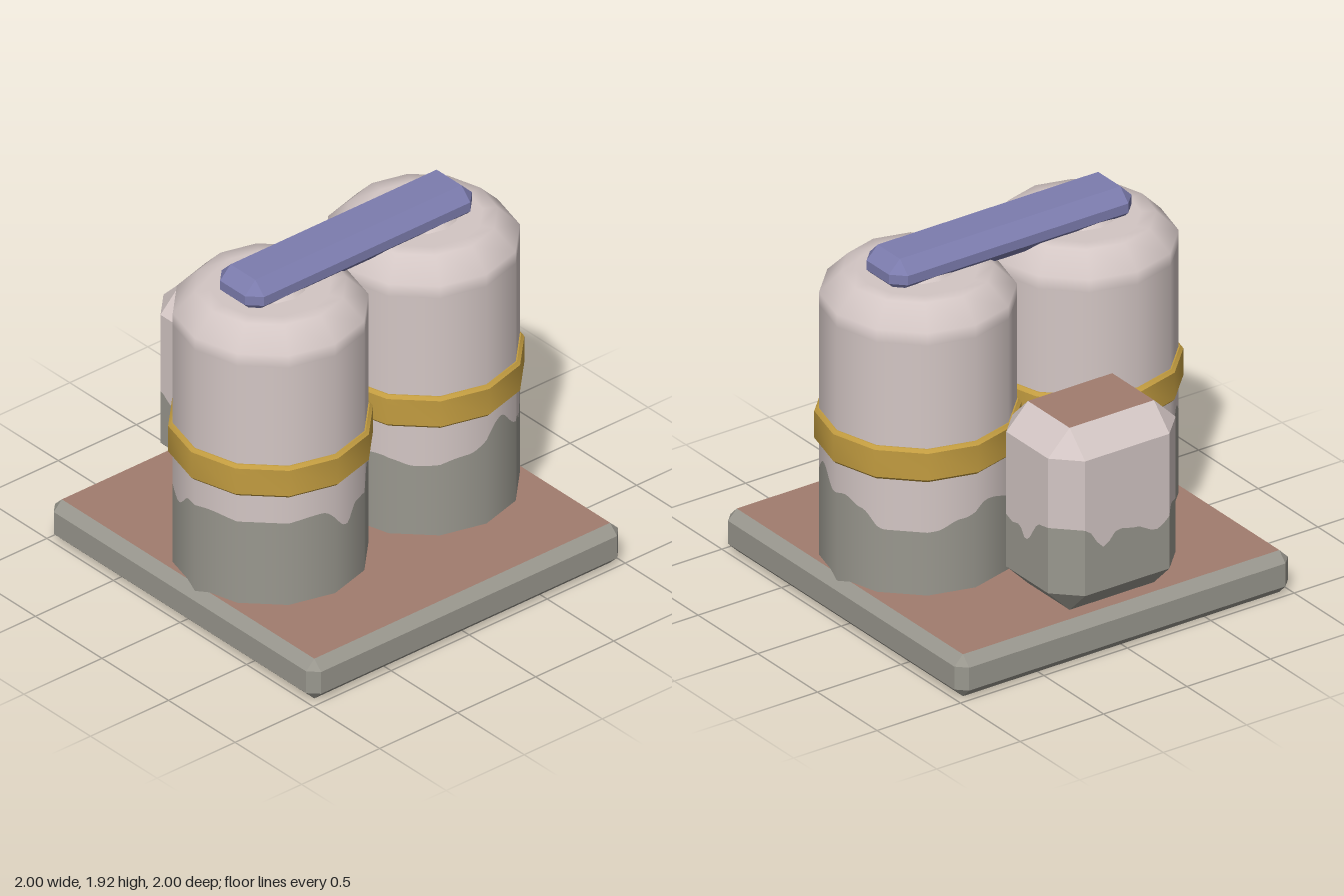
import * as THREE from 'three';
import { toCreasedNormals } from 'three/addons/utils/BufferGeometryUtils.js';

const mat = (name, color) => new THREE.MeshStandardMaterial({ name, color });

// Closed ring of [x, z] points, each side cut into n pieces
function subdivide(ring, n) {
  return ring.flatMap(([x, z], i) => {
    const [x2, z2] = ring[(i + 1) % ring.length];
    return Array.from({ length: n }, (_, k) => [x + (x2 - x) * k / n, z + (z2 - z) * k / n]);
  });
}

// Wall between two closed loops of Vector3; round = normals pointing away from the axis
function strip(lo, hi, round = false) {
  const pos = [];
  lo.forEach((a, i) => {
    const j = (i + 1) % lo.length;
    for (const p of [a, lo[j], hi[j], a, hi[j], hi[i]]) pos.push(p.x, p.y, p.z);
  });
  const g = new THREE.BufferGeometry();
  g.setAttribute('position', new THREE.Float32BufferAttribute(pos, 3));
  g.computeVertexNormals();
  if (round) {
    const n = g.attributes.normal;
    for (let i = 0; i < n.count; i++) {
      const v = new THREE.Vector3(pos[i * 3], 0, pos[i * 3 + 2]).normalize();
      n.setXYZ(i, v.x, v.y, v.z);
    }
  }
  return g;
}

const raise = (ring, y) => ring.map(([x, z]) =>
  new THREE.Vector3(x, typeof y === 'function' ? y(Math.atan2(x, z) * 180 / Math.PI) : y, z));

// Smooth periodic height from [degrees, y] points, angle measured from +z towards +x
function wave(points) {
  return (deg) => {
    const first = points[0][0];
    const a = first + ((deg - first) % 360 + 360) % 360;
    const all = [...points, [first + 360, points[0][1]]];
    let i = 0;
    while (i < all.length - 2 && all[i + 1][0] <= a) i++;
    const t = (a - all[i][0]) / (all[i + 1][0] - all[i][0]);
    return all[i][1] + (all[i + 1][1] - all[i][1]) * (1 - Math.cos(Math.PI * t)) / 2;
  };
}

function add(group, name, geometry, material, x = 0, y = 0, z = 0) {
  const m = new THREE.Mesh(geometry, material);
  m.name = name;
  m.position.set(x, y, z);
  group.add(m);
  return m;
}

// Box with every edge chamfered, standing on y = 0; optional paint line on its walls
function chamferBox(name, w, h, d, c, side, cap, paint, line) {
  const g = new THREE.Group();
  g.name = name;
  const X = w / 2, Z = d / 2, x = X - c, z = Z - c;
  const oct = [[x, Z], [X, z], [X, -z], [x, -Z], [-x, -Z], [-X, -z], [-X, z], [-x, Z]];
  const inner = oct.map(([a, b]) => [Math.sign(a) * x, Math.sign(b) * z]);
  add(g, name + 'LowerChamfer', strip(raise(inner, 0), raise(oct, c)), paint || side);
  add(g, name + 'UpperChamfer', strip(raise(oct, h - c), raise(inner, h)), side);
  if (paint) {
    const ring = subdivide(oct, 14), edge = raise(ring, line);
    add(g, name + 'PaintedWall', strip(raise(ring, c), edge), paint);
    add(g, name + 'Wall', strip(edge, raise(ring, h - c)), side);
  } else {
    add(g, name + 'Wall', strip(raise(oct, c), raise(oct, h - c)), side);
  }
  add(g, name + 'Top', new THREE.PlaneGeometry(2 * x, 2 * z).rotateX(-Math.PI / 2), cap, 0, h);
  add(g, name + 'Bottom', new THREE.PlaneGeometry(2 * x, 2 * z).rotateX(Math.PI / 2), cap);
  return g;
}

const lathe = (pts) => new THREE.LatheGeometry(pts.map(([r, y]) => new THREE.Vector2(r, y)), 12);

export function createModel() {
  const model = new THREE.Group();
  model.name = 'tankStation';
  const pale = mat('paleMetal', 0xd3c6c4), grey = mat('greyConcrete', 0x99978e);
  const brown = mat('rustBrown', 0xa17c6e), yellow = mat('yellowBand', 0xc29c40);
  const blue = mat('bluePipe', 0x7c7cae);

  // Base slab
  model.add(chamferBox('base', 2, 0.23, 2, 0.052, grey, brown));

  // Twin tanks with a wavy dirt line
  const lines = {
    left: [[-170, 0.62], [-157, 0.71], [-145, 0.6], [-128, 0.74], [-112, 0.62], [-98, 0.7], [-80, 0.71],
      [-60, 0.7], [-33, 0.7], [-8, 0.71], [12, 0.58], [22, 0.67], [29, 0.68], [47, 0.76], [57, 0.72],
      [70, 0.62], [90, 0.68], [115, 0.64], [140, 0.71], [165, 0.66]],
    right: [[-170, 0.68], [-140, 0.62], [-115, 0.7], [-90, 0.65], [-64, 0.67], [-44, 0.625], [-12, 0.655],
      [15, 0.79], [30, 0.69], [37, 0.68], [51, 0.61], [67, 0.77], [84, 0.68], [95, 0.7], [108, 0.66],
      [125, 0.575], [155, 0.575], [172, 0.62]],
  };
  const R = 0.485;
  const polygon = Array.from({ length: 12 }, (_, i) =>
    [R * Math.sin(i * Math.PI / 6), R * Math.cos(i * Math.PI / 6)]);
  const ring = subdivide(polygon, 14);
  for (const [side, s] of [['left', -1], ['right', 1]]) {
    const tank = new THREE.Group();
    tank.name = side === 'left' ? 'tankNegativeX' : 'tankPositiveX';
    tank.position.set(s * R, 0, 0.077);
    const edge = raise(ring, wave(lines[side]));
    add(tank, 'tankDirt', strip(raise(ring, 0.15), edge, true), grey);
    add(tank, 'tankWall', strip(edge, raise(ring, 1.6), true), pale);
    add(tank, 'tankShoulder', lathe([[R, 1.6], [R, 1.67], [0.375, 1.782], [0.3, 1.782], [0, 1.782]]), pale);
    add(tank, 'tankNozzle', new THREE.CylinderGeometry(0.08, 0.18, 0.1, 12), pale, 0, 1.83);
    // Band clamped around the tank
    add(tank, 'tankBand', toCreasedNormals(
      lathe([[0.483, 0.857], [0.492, 0.857], [0.508, 0.873], [0.508, 1.02], [0.492, 1.036], [0.483, 1.036]]), 0.6), yellow);
    model.add(tank);
  }

  // Pipe joining the tank tops
  const pipe = chamferBox('pipe', 1.455, 0.185, 0.32, 0.067, blue, blue);
  pipe.position.set(0, 1.738, 0.075);
  model.add(pipe);

  // Cabinet behind the tanks
  const dirt = wave([[0, 0.64], [20, 0.6], [40, 0.69], [52, 0.7], [65, 0.65], [72, 0.63], [80, 0.64], [88, 0.58],
    [106, 0.71], [115, 0.72], [140, 0.72], [155, 0.6], [170, 0.67], [190, 0.65], [210, 0.6], [228, 0.69],
    [245, 0.66], [257, 0.61], [275, 0.7], [300, 0.66], [330, 0.7]]);
  const cabinet = chamferBox('cabinet', 0.765, 1, 0.61, 0.13, pale, brown, grey, (a) => dirt(a) - 0.231);
  cabinet.position.set(0, 0.231, -0.695);
  model.add(cabinet);
  return model;
}
